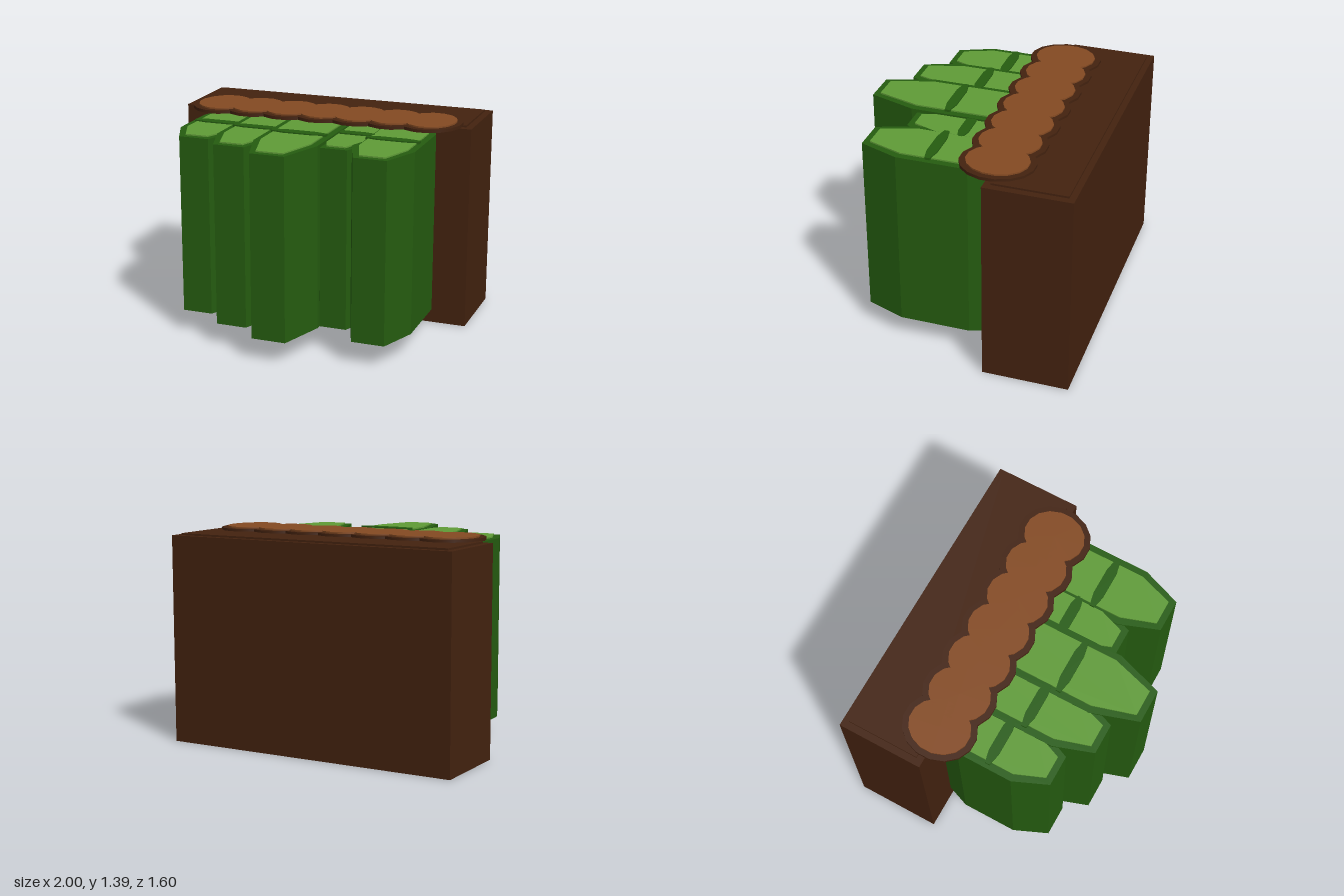
import * as THREE from 'three';

const paint = (name, color) => {
  const m = new THREE.MeshStandardMaterial({ color });
  m.name = name;
  return m;
};

// Upright prism from an [x, z] outline between two heights
function prism(points, y0, y1) {
  const shape = new THREE.Shape(points.map(([x, z]) => new THREE.Vector2(x, -z)));
  const geo = new THREE.ExtrudeGeometry(shape, { depth: y1 - y0, bevelEnabled: false });
  return geo.rotateX(-Math.PI / 2).translate(0, y0, 0);
}

// Six-shouldered leaf outline, tapered at both ends
const leafOutline = (x, half, tip, zBack, zBackWide, zWide, zTip) => [
  [x - tip, zBack], [x + tip, zBack], [x + half, zBackWide], [x + half, zWide],
  [x + tip, zTip], [x - tip, zTip], [x - half, zWide], [x - half, zBackWide],
];

export function createModel() {
  const model = new THREE.Group();
  const darkBrown = paint('dark brown', 0x43220f);
  const lightBrown = paint('light brown', 0x844a22);
  const darkGreen = paint('dark green', 0x255c10);
  const lightGreen = paint('light green', 0x5f9b37);

  const add = (parent, name, geo, mat) => {
    const mesh = new THREE.Mesh(geo, mat);
    mesh.name = name;
    parent.add(mesh);
    return mesh;
  };

  // Rear block and its raised top panel
  add(model, 'block', new THREE.BoxGeometry(2, 1.352, 0.56).translate(0, 0.676, -0.52), darkBrown);
  add(model, 'blockTopPanel', new THREE.BoxGeometry(1.91, 0.012, 0.475).translate(0, 1.358, -0.522), darkBrown);

  // Scalloped row of overlapping discs: dark rim with a lighter cap
  const scallops = new THREE.Group();
  scallops.name = 'scallopedRow';
  model.add(scallops);
  const disc = (rx, rz, y0, y1) => new THREE.CylinderGeometry(1, 1, y1 - y0, 16)
    .rotateY(Math.PI / 16).scale(rx, 1, rz).translate(0, (y0 + y1) / 2, 0);
  const rim = disc(0.21, 0.238, 1.36, 1.38);
  const cap = disc(0.172, 0.198, 1.38, 1.39);
  for (let i = -3; i <= 3; i++) {
    add(scallops, 'discRim', rim, darkBrown).position.set(i * 0.242, 0, -0.253);
    add(scallops, 'discCap', cap, lightBrown).position.set(i * 0.242, 0, -0.253);
  }

  // Leaves: centre x, half width, half tip width, shoulder z, tip z, top y, band z
  const leaves = [
    [-0.61, 0.195, 0.1, 0.28, 0.5, 1.329, 0.105],
    [-0.305, 0.19, 0.102, 0.39, 0.645, 1.341, 0.185],
    [0.012, 0.213, 0.113, 0.49, 0.795, 1.351, 0.26],
    [0.315, 0.165, 0.088, 0.26, 0.452, 1.331, 0.083],
    [0.608, 0.203, 0.108, 0.37, 0.625, 1.339, 0.175],
  ];
  for (const [x, half, tip, zWide, zTip, top, zBand] of leaves) {
    const leaf = new THREE.Group();
    leaf.name = 'leaf';
    model.add(leaf);
    add(leaf, 'leafBody',
      prism(leafOutline(x, half, tip, -0.345, -0.09, zWide, zTip), 0.15, top), darkGreen);
    add(leaf, 'leafInlay',
      prism(leafOutline(x, half - 0.045, tip - 0.026, -0.3, -0.08, zWide - 0.01, zTip - 0.042), top, top + 0.009), lightGreen);
    // Narrow pointed band across the inlay
    const w = half * 0.87, s = half * 0.45;
    add(leaf, 'leafBand', prism([
      [x - w, zBand - 0.016], [x - s, zBand - 0.034], [x + s, zBand - 0.034], [x + w, zBand - 0.016],
      [x + w, zBand + 0.016], [x + s, zBand + 0.034], [x - s, zBand + 0.034], [x - w, zBand + 0.016],
    ], top + 0.002, top + 0.017), darkGreen);
  }
  return model;
}
